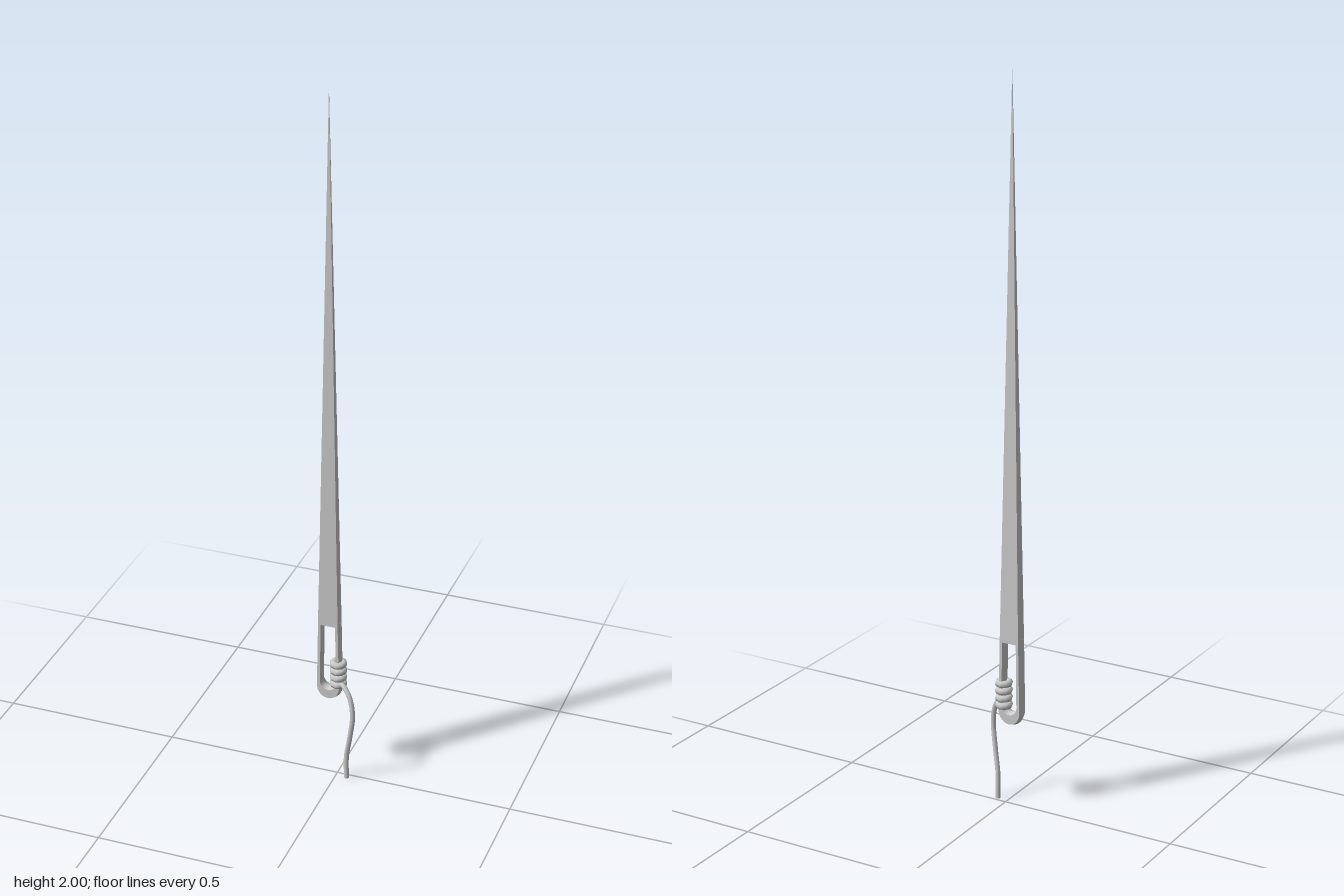
import * as THREE from 'three';

const CX = -0.026, CZ = -0.011; // axis of the needle

export function createModel() {
  const model = new THREE.Group();
  const flat = new THREE.MeshStandardMaterial({ color: 0xcccccc, flatShading: true });
  const smooth = new THREE.MeshStandardMaterial({ color: 0xcccccc });
  const add = (name, geometry, material, x, y, z, parent = model) => {
    const mesh = new THREE.Mesh(geometry, material);
    mesh.name = name;
    mesh.position.set(x, y, z);
    parent.add(mesh);
    return mesh;
  };

  // Blade: six-sided spike, wide and flat, tapering to the tip
  const base = 0.485, height = 2 - base;
  const blade = new THREE.CylinderGeometry(0.01, 1, height, 6, 1, false, Math.PI / 2);
  const p = blade.attributes.position;
  for (let i = 0; i < p.count; i++) {
    const x = p.getX(i), z = p.getZ(i);
    const side = Math.abs(z) > 0.001 ? 1.7 : 1; // widen the flat faces
    p.setXYZ(i, x * side * 0.033, p.getY(i), z * 0.0185);
  }
  add('blade', blade, flat, CX, base + height / 2, CZ);

  // Eye: chamfered plate with a rounded end and a long slot
  const outline = new THREE.Shape();
  outline.moveTo(0.033, 0.49);
  outline.lineTo(-0.033, 0.49);
  outline.lineTo(-0.037, 0.282);
  outline.absellipse(0, 0.282, 0.037, 0.042, Math.PI, Math.PI * 2, false);
  outline.closePath();
  const slot = new THREE.Path();
  slot.moveTo(0.016, 0.472);
  slot.lineTo(0.018, 0.295);
  slot.absellipse(0, 0.295, 0.018, 0.018, 0, Math.PI, true);
  slot.lineTo(-0.016, 0.472);
  slot.closePath();
  outline.holes.push(slot);
  const eye = new THREE.ExtrudeGeometry(outline, {
    depth: 0.002, curveSegments: 8, bevelEnabled: true, bevelSegments: 1,
    bevelSize: 0.005, bevelThickness: 0.015, bevelOffset: -0.005,
  });
  eye.translate(0, 0, -0.001);
  add('eye', eye, flat, CX, 0, CZ);

  // Knot: thread wound four times round one side of the eye
  const knot = new THREE.Group();
  knot.name = 'knot';
  model.add(knot);
  const ring = new THREE.TorusGeometry(0.0145, 0.0105, 8, 8).rotateX(Math.PI / 2);
  for (let i = 0; i < 4; i++) {
    add('threadTurn', ring, smooth, -0.001, 0.292 + i * 0.021, -0.01, knot);
  }

  // Loose thread hanging from the knot, in one slanting plane
  const path = new THREE.CatmullRomCurve3([
    [0.005, 0.3], [0.022, 0.294], [0.042, 0.27], [0.053, 0.22],
    [0.043, 0.14], [0.031, 0.07], [0.031, 0],
  ].map(([x, y]) => new THREE.Vector3(x, y, (x - 0.009) * 0.58)));
  add('looseThread', new THREE.TubeGeometry(path, 40, 0.007, 8), smooth, 0, 0, 0);
  const end = new THREE.CircleGeometry(0.007, 8).rotateX(Math.PI / 2);
  add('threadEnd', end, smooth, 0.031, 0, 0.0128);

  return model;
}
